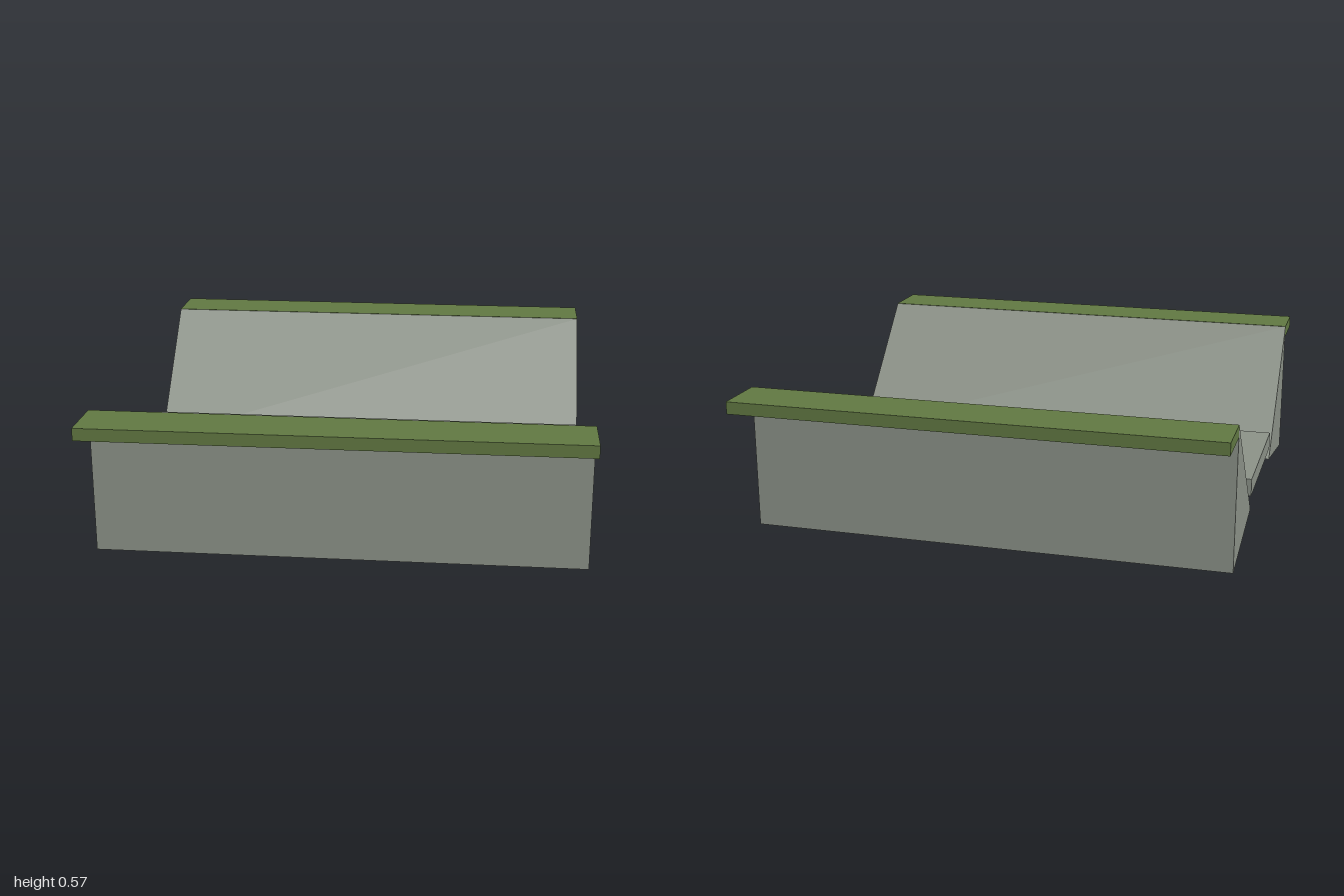
import * as THREE from 'three';

const LENGTH = 1.88;

export function createModel() {
  const model = new THREE.Group();
  model.name = 'channel';

  const concrete = new THREE.MeshStandardMaterial({ color: 0x8b9187 });
  concrete.name = 'concrete grey';
  const grass = new THREE.MeshStandardMaterial({ color: 0x617842 });
  grass.name = 'grass green';

  function add(parent, name, geometry, material, y = 0, z = 0) {
    const mesh = new THREE.Mesh(geometry, material);
    mesh.name = name;
    mesh.position.set(0, y, z);
    parent.add(mesh);
  }

  // Flat channel bed
  add(model, 'channelBed', new THREE.BoxGeometry(LENGTH, 0.07, 0.626), concrete, 0.167);

  // Triangular bank profile in (z, y), extruded along x
  const profile = new THREE.Shape([
    new THREE.Vector2(0.785, 0),
    new THREE.Vector2(0.785, 0.565),
    new THREE.Vector2(0.317, 0.08),
  ]);
  const bankGeometry = new THREE.ExtrudeGeometry(profile, { depth: LENGTH, bevelEnabled: false });
  bankGeometry.translate(0, 0, -LENGTH / 2);
  bankGeometry.rotateY(-Math.PI / 2);
  const vergeGeometry = new THREE.BoxGeometry(LENGTH, 0.048, 0.215);

  // Sloped bank and grass verge on each side
  for (const side of ['front', 'back']) {
    const bankSide = new THREE.Group();
    bankSide.name = side + 'Side';
    add(bankSide, side + 'Bank', bankGeometry, concrete);
    add(bankSide, side + 'Verge', vergeGeometry, grass, 0.542, 0.8925);
    if (side === 'back') bankSide.rotation.y = Math.PI;
    model.add(bankSide);
  }

  return model;
}
